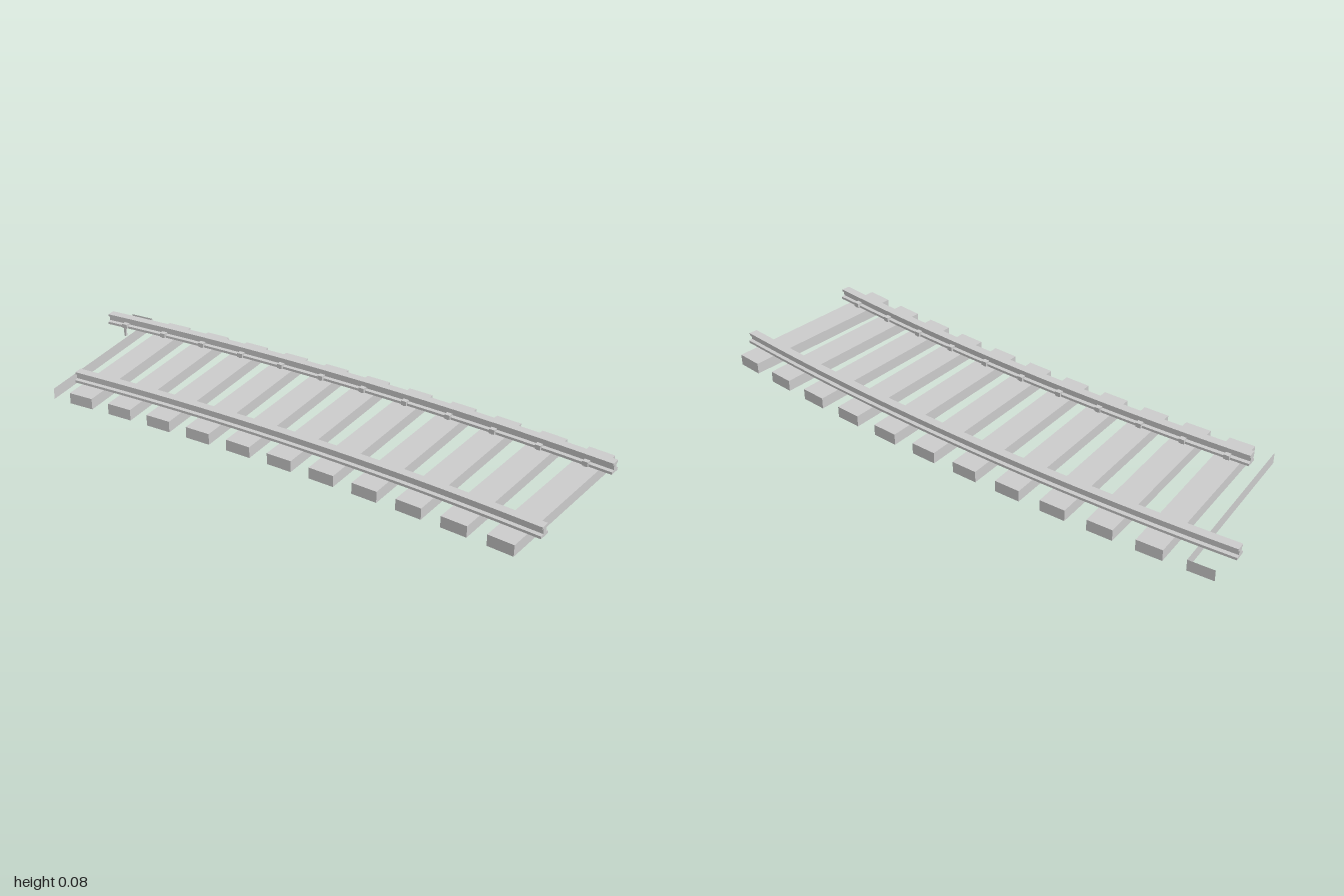
import * as THREE from 'three';

const R = 9.85;          // centreline radius of the curve
const X0 = 0.071;        // centreline x on the straight
const Z0 = 0.91;         // z where the curve begins
const GAUGE = 0.222;     // half distance between the rails
const STEP = 0.164;      // sleeper spacing along the centreline
const SLEEPER = { w: 0.63, h: 0.04, d: 0.091 };

// Point at distance a along the track, offset u to the left side (+x)
function along(u, a) {
  const t = Math.max(0, a) / R;
  return {
    x: X0 - R * (1 - Math.cos(t)) + u * Math.cos(t),
    z: Z0 - R * Math.sin(t) - u * Math.sin(t) - Math.min(0, a),
    angle: t,
  };
}

function place(object, u, a) {
  const p = along(u, a);
  object.position.set(p.x, 0, p.z);
  object.rotation.y = p.angle;
  return object;
}

// I-section swept along the track
function railGeometry(u, start, end) {
  const half = [[0.02, 0.04], [0.02, 0.049], [0.0085, 0.052], [0.0085, 0.069], [0.0155, 0.07], [0.0155, 0.078]];
  const pts = [...half, ...half.map(([x, y]) => [-x, y]).reverse()];
  const shape = new THREE.Shape(pts.map(([x, y]) => new THREE.Vector2(x, y)));
  const length = end - start;
  const geo = new THREE.ExtrudeGeometry(shape, { depth: length, steps: 24, bevelEnabled: false });
  const pos = geo.attributes.position;
  for (let i = 0; i < pos.count; i++) {
    const p = along(u + pos.getX(i), end - pos.getZ(i));
    pos.setXYZ(i, p.x, pos.getY(i), p.z);
  }
  geo.computeVertexNormals();
  return geo;
}

export function createModel() {
  const group = new THREE.Group();
  const mat = new THREE.MeshStandardMaterial({ color: 0xcccccc, flatShading: true });
  const thin = new THREE.MeshStandardMaterial({ color: 0xcccccc, flatShading: true, side: THREE.DoubleSide });
  const add = (parent, name, geo, x, y, z, material = mat) => {
    const mesh = new THREE.Mesh(geo, material);
    mesh.name = name;
    mesh.position.set(x, y, z);
    parent.add(mesh);
    return mesh;
  };

  // Rails: the left one runs further than the right one
  add(group, 'leftRail', railGeometry(GAUGE, -0.09, 1.88), 0, 0, 0);
  add(group, 'rightRail', railGeometry(-GAUGE, -0.09, 1.717), 0, 0, 0);

  // Whole sleepers
  const { w, h, d } = SLEEPER;
  const sleeperGeo = new THREE.BoxGeometry(w, h, d);
  for (let i = 0; i < 11; i++) {
    const holder = place(new THREE.Group(), 0, i * STEP);
    holder.name = 'sleeper';
    add(holder, 'sleeperBlock', sleeperGeo, 0, h / 2, 0);
    group.add(holder);
  }

  // Last sleeper is an open shell: front board and left end only
  const shell = place(new THREE.Group(), 0, 11 * STEP);
  shell.name = 'openSleeper';
  add(shell, 'frontBoard', new THREE.PlaneGeometry(w, h), 0, h / 2, d / 2, thin);
  add(shell, 'endBoard', new THREE.PlaneGeometry(d, h), w / 2, h / 2, 0, thin).rotation.y = Math.PI / 2;
  group.add(shell);

  // Spikes on the inner side of each rail
  const headGeo = new THREE.BoxGeometry(0.018, 0.016, 0.02);
  const shaftGeo = new THREE.BoxGeometry(0.008, 0.034, 0.008);
  for (const side of [1, -1]) {
    const count = side > 0 ? 12 : 11;
    for (let i = 0; i < count; i++) {
      const spike = place(new THREE.Group(), side * (GAUGE - 0.019), i * STEP);
      spike.name = 'spike';
      add(spike, 'spikeHead', headGeo, 0, 0.05, 0);
      add(spike, 'spikeShaft', shaftGeo, -side * 0.004, 0.027, 0);
      group.add(spike);
    }
  }
  return group;
}
